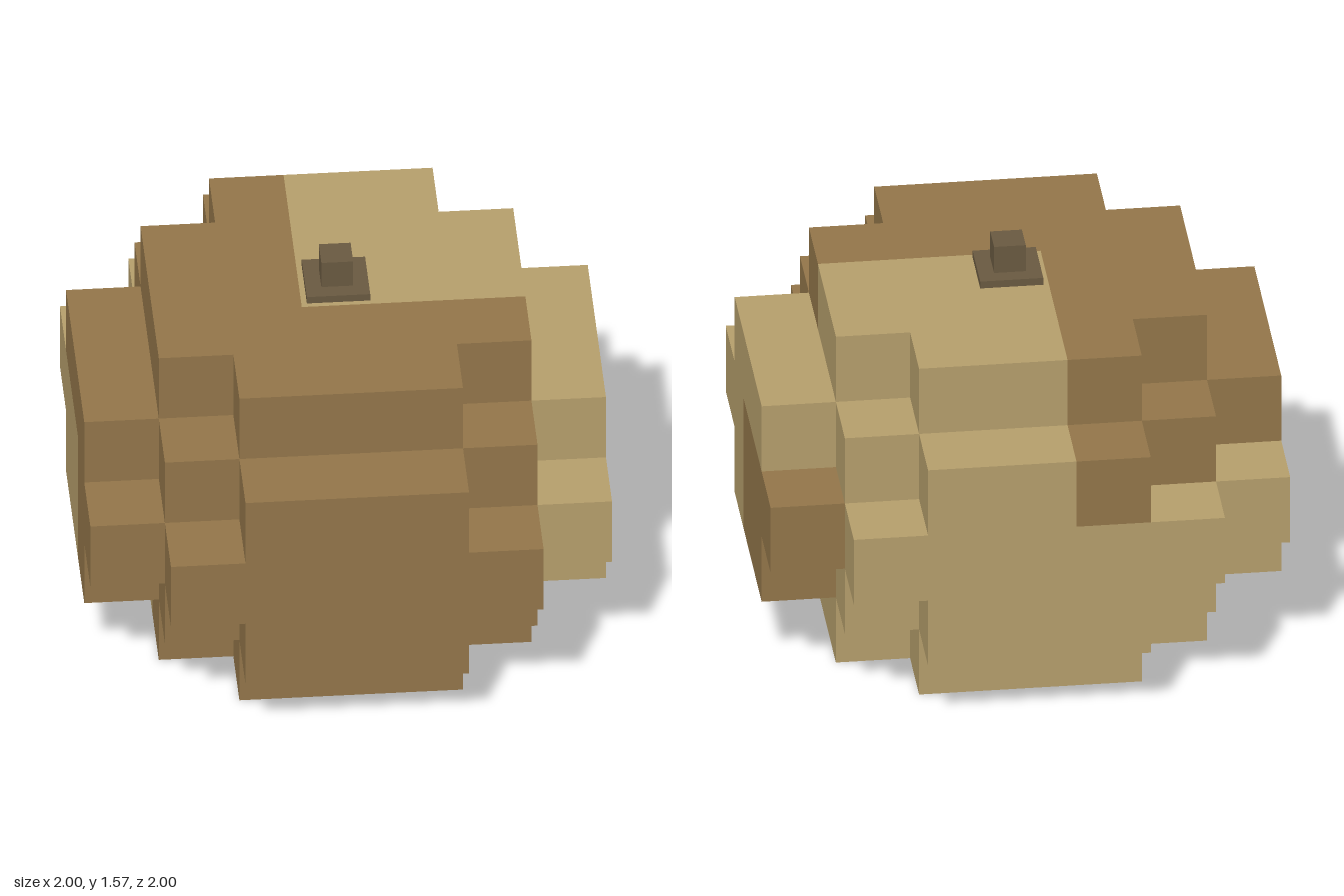
import * as THREE from 'three';
import { mergeGeometries } from 'three/addons/utils/BufferGeometryUtils.js';

const U = 2 / 7; // block size: the body is 7 x 5 x 7 blocks

const mat = (name, color) => {
  const m = new THREE.MeshStandardMaterial({ color });
  m.name = name;
  return m;
};

// Rounded block shape: corners are stepped off
const solid = (i, j, k) => {
  const p = Math.max(Math.abs(i) - 1, 0);
  const q = Math.abs(j);
  const r = Math.max(Math.abs(k) - 1, 0);
  return p <= 2 && q <= 2 && r <= 2 && p + q + r <= 3;
};

// Large colour patches: dark front, dark upper left back, dark panel on the +x side
const isDark = (i, j, k) => {
  if (i === 3) return k <= 0 && j <= 0;
  return k >= 1 || (i <= -1 && j >= 1);
};

// One outward block face, centred on block (i, j, k)
function blockFace(i, j, k, [x, y, z]) {
  const g = new THREE.PlaneGeometry(U, U).translate(0, 0, U / 2);
  if (y) g.rotateX(-y * Math.PI / 2);
  else g.rotateY(Math.atan2(x, z));
  return g.translate(i * U, (j + 2.5) * U, k * U);
}

export function createModel() {
  const model = new THREE.Group();
  model.name = 'blockGourd';
  const dark = mat('darkBrown', 0x93764a);
  const light = mat('lightTan', 0xb69f6c);
  const stemBrown = mat('stemBrown', 0x6a5a41);

  // Body skin: only the exposed faces, sorted by colour
  const sides = [[1, 0, 0], [-1, 0, 0], [0, 1, 0], [0, -1, 0], [0, 0, 1], [0, 0, -1]];
  const darkFaces = [];
  const lightFaces = [];
  for (let i = -3; i <= 3; i++)
    for (let j = -2; j <= 2; j++)
      for (let k = -3; k <= 3; k++) {
        if (!solid(i, j, k)) continue;
        for (const d of sides) {
          if (solid(i + d[0], j + d[1], k + d[2])) continue;
          (isDark(i, j, k) ? darkFaces : lightFaces).push(blockFace(i, j, k, d));
        }
      }

  const add = (name, geometry, material) => {
    const mesh = new THREE.Mesh(geometry, material);
    mesh.name = name;
    model.add(mesh);
    return mesh;
  };
  add('darkSkin', mergeGeometries(darkFaces), dark);
  add('lightSkin', mergeGeometries(lightFaces), light);

  // Stem: a thin square collar with a small cube on it
  const top = 5 * U;
  add('stemCollar', new THREE.BoxGeometry(0.243, 0.03, 0.243), stemBrown).position.y = top + 0.015;
  add('stem', new THREE.BoxGeometry(0.122, 0.114, 0.122), stemBrown).position.y = top + 0.03 + 0.057;

  return model;
}
